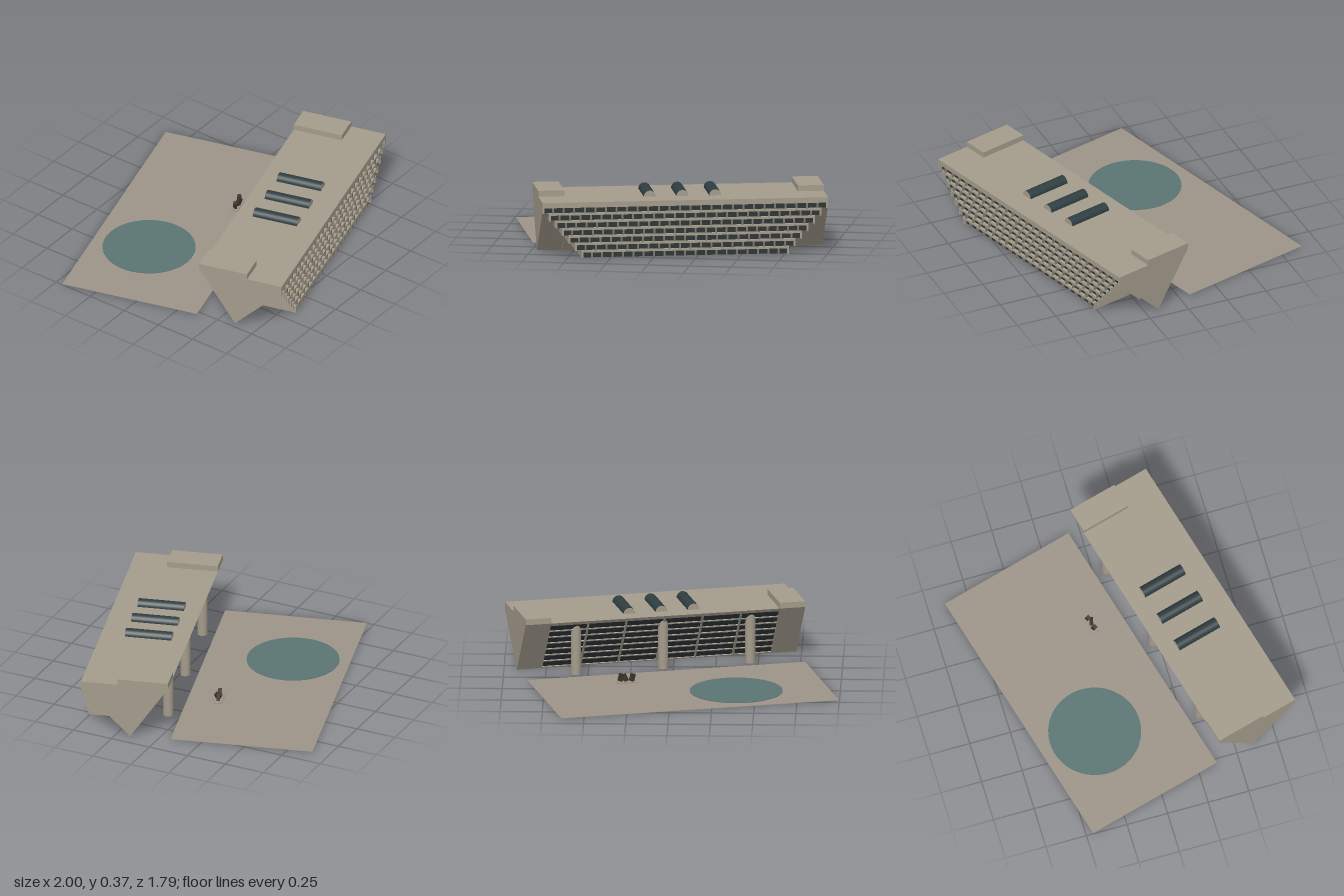
import * as THREE from 'three';

const mat = (color) => new THREE.MeshStandardMaterial({ color });

export function createModel() {
  const model = new THREE.Group();
  const site = new THREE.Group();
  site.name = 'site';
  site.rotation.y = Math.PI / 12;
  model.add(site);

  const concrete = mat(0xa39b8b), paving = mat(0x9c9488), finMat = mat(0x807a6c);
  const glass = mat(0x2b3235), vaultMat = mat(0x2f3d41), water = mat(0x5a7573), bronze = mat(0x3a352b);

  const add = (parent, name, geo, material) => {
    const m = new THREE.Mesh(geo, material);
    m.name = name;
    parent.add(m);
    return m;
  };
  // Box given by its limits on each axis
  const block = (parent, name, material, x0, x1, y0, y1, z0, z1) => {
    const m = add(parent, name, new THREE.BoxGeometry(x1 - x0, y1 - y0, z1 - z0), material);
    m.position.set((x0 + x1) / 2, (y0 + y1) / 2, (z0 + z1) / 2);
    return m;
  };
  // Prism along x from a profile of [z, y] points
  const prism = (name, profile, x0, x1) => {
    const shape = new THREE.Shape(profile.map(([z, y]) => new THREE.Vector2(-z, y)));
    const geo = new THREE.ExtrudeGeometry(shape, { depth: x1 - x0, bevelEnabled: false });
    geo.rotateY(Math.PI / 2).translate(x0, 0, 0);
    return add(site, name, geo, concrete);
  };

  const L = 0.85, H = 0.335, front = 0.694, foot = 0.398, back = 0.17, floorH = 0.045;
  const slopeZ = (y) => foot - (foot - back) * y / H;

  // Plaza and round pool
  block(site, 'plaza', paving, -0.845, 0.845, 0.001, 0.003, -0.7, 0.155);
  add(site, 'pool', new THREE.CylinderGeometry(0.275, 0.275, 0.006, 64), water).position.set(-0.302, 0.003, -0.36);

  // Leaning body, end walls and roof slab
  const r = 0.02;
  prism('body', [[foot + r, 0], [front - 0.03, 0.25], [front - 0.03, H - 0.01], [back + r, H - 0.01]], -0.7, 0.7);
  for (const s of [-1, 1]) {
    const [a, b] = s > 0 ? [0.695, L] : [-L, -0.695];
    prism('endWall', [[foot, 0], [front - 0.02, 0.27], [front - 0.02, H], [back, H]], a, b);
    block(site, 'roofHouse', concrete, a, b, H, 0.37, back, 0.475);
  }
  prism('roofSlab', [[slopeZ(0.315), 0.315], [front, 0.315], [front, H], [back, H]], -L, L);

  // Floors that widen upward, each with a glazed and finned front
  for (let i = 0; i < 7; i++) {
    const e = 0.618 + (L - 0.618) * i / 6, y = i * floorH;
    const floor = new THREE.Group();
    floor.name = 'floor' + (i + 1);
    site.add(floor);
    block(floor, 'floorCore', concrete, -e, e, y, y + floorH, slopeZ(y) + r, front - 0.025);
    block(floor, 'windowBand', glass, -e + 0.012, e - 0.012, y + 0.001, y + 0.034, front - 0.03, front - 0.018);
    block(floor, 'spandrel', concrete, -e, e, y + 0.033, y + floorH, front - 0.03, front);
    for (const s of [-1, 1])
      block(floor, 'cheek', concrete, s * e - 0.006 - s * 0.006, s * e + 0.006 - s * 0.006, y, y + floorH, front - 0.03, front);
    const n = Math.round(e * 2 / 0.062);
    const fins = new THREE.InstancedMesh(new THREE.BoxGeometry(0.01, 0.033, 0.018), finMat, 0);
    fins.geometry.dispose();
    for (let k = 1; k < n; k++) {
      const x = -e + 2 * e * k / n;
      block(floor, 'fin', finMat, x - 0.005, x + 0.005, y, y + 0.034, front - 0.02, front - 0.002);
    }
  }

  // Sloped rear glazing with ledges and mullions
  const rear = new THREE.Group();
  rear.name = 'rearGlazing';
  rear.position.set(0, H / 2, (foot + back) / 2 + 0.012);
  rear.rotation.x = -Math.atan((foot - back) / H);
  site.add(rear);
  block(rear, 'rearGlass', glass, -0.7, 0.7, -0.19, 0.19, -0.004, 0.006);
  for (let i = 0; i < 7; i++) {
    const y = -0.19 + i * 0.054;
    block(rear, 'ledge', concrete, -0.7, 0.7, y - 0.004, y + 0.004, -0.01, 0.002);
  }
  for (let i = -2; i <= 2; i++)
    block(rear, 'mullion', concrete, i * 0.232 - 0.006, i * 0.232 + 0.006, -0.19, 0.19, -0.01, 0.002);

  // Round columns under the overhang
  for (const x of [-0.53, 0, 0.53])
    add(site, 'column', new THREE.CylinderGeometry(0.03, 0.03, 0.3, 24), concrete).position.set(x, 0.15, 0.23);

  // Barrel skylights on the roof
  for (const x of [-0.195, 0, 0.195]) {
    const geo = new THREE.CylinderGeometry(0.036, 0.036, 0.28, 24, 1, false, Math.PI / 2, Math.PI);
    geo.rotateX(Math.PI / 2);
    add(site, 'skylight', geo, [vaultMat, concrete, concrete]).position.set(x, H, 0.41);
  }

  // Small bronze sculpture on the plaza
  const sculpture = new THREE.Group();
  sculpture.name = 'sculpture';
  sculpture.position.set(0.285, 0, -0.03);
  site.add(sculpture);
  block(sculpture, 'sculptureBase', paving, -0.06, 0.06, 0.003, 0.008, -0.025, 0.025);
  [[-0.035, 0.03, 0.002, 0.3], [0.008, 0.028, 0.008, -0.5], [0.035, 0.035, 0, 0.25]].forEach(([x, y, z, tilt]) => {
    const m = add(sculpture, 'bronzeForm', new THREE.BoxGeometry(0.025, 0.045, 0.022), bronze);
    m.position.set(x, y, z);
    m.rotation.set(0, tilt, tilt);
  });
  return model;
}
